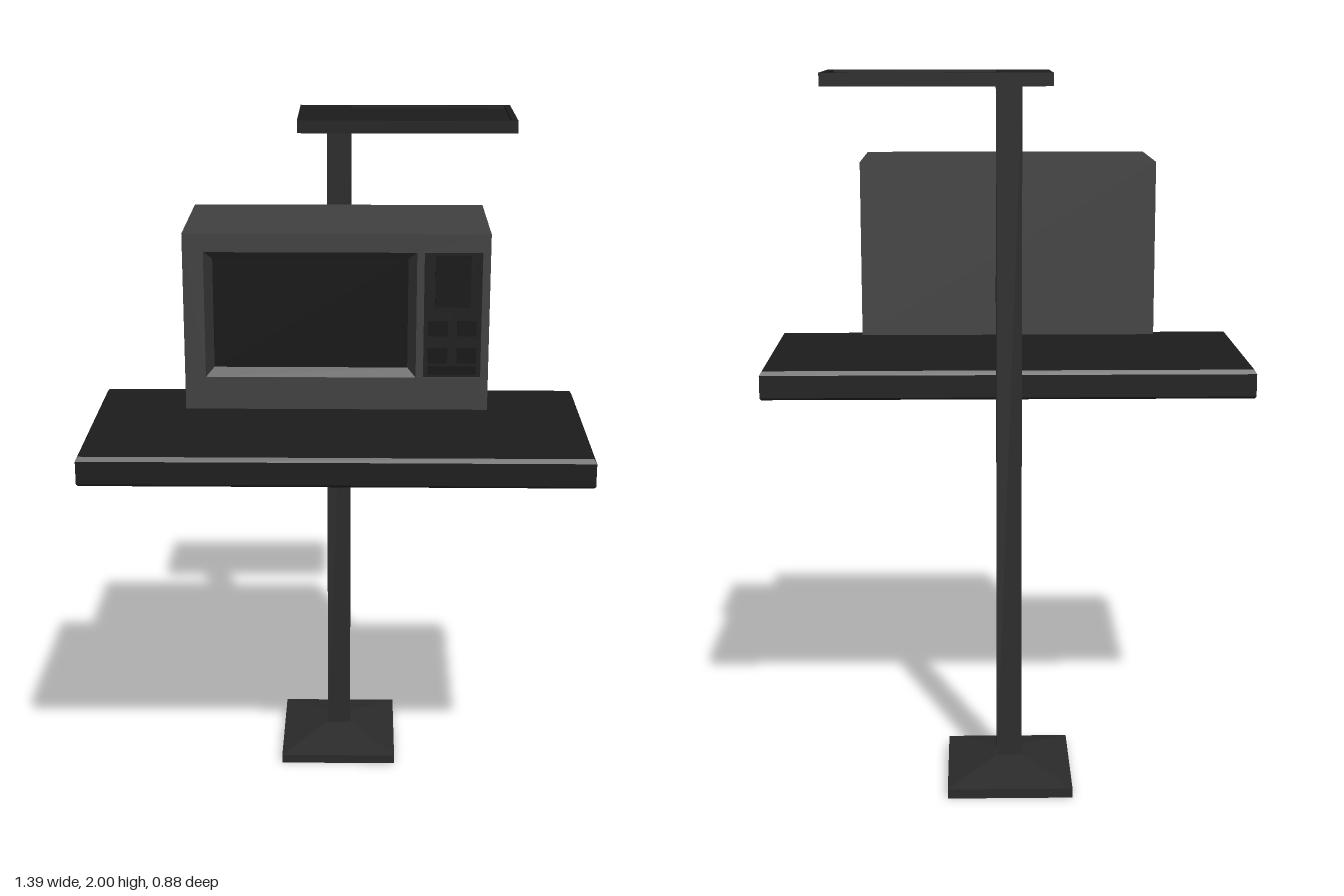
import * as THREE from 'three';

const paint = (color) => new THREE.MeshStandardMaterial({ color, flatShading: true });
const mats = {
  casing: paint(0x404040),
  post: paint(0x2a2a2a),
  shelf: paint(0x1c1c1c),
  frame: paint(0x303030),
  dark: paint(0x121212),
};

// Box given by its limits on each axis
function box(name, mat, [x0, x1], [y0, y1], [z0, z1]) {
  const mesh = new THREE.Mesh(new THREE.BoxGeometry(x1 - x0, y1 - y0, z1 - z0), mat);
  mesh.position.set((x0 + x1) / 2, (y0 + y1) / 2, (z0 + z1) / 2);
  mesh.name = name;
  return mesh;
}

// Joins rectangles [width, height, z]; ascending z faces outward, descending faces inward
function loft(sections, capped) {
  const points = [];
  const index = [];
  for (const [w, h, z] of sections) {
    for (const [sx, sy] of [[-1, -1], [1, -1], [1, 1], [-1, 1]]) points.push((sx * w) / 2, (sy * h) / 2, z);
  }
  for (let s = 0; s < sections.length - 1; s++) {
    for (let i = 0; i < 4; i++) {
      const a = s * 4 + i;
      const b = s * 4 + ((i + 1) % 4);
      index.push(a, b, b + 4, a, b + 4, a + 4);
    }
  }
  if (capped) {
    const t = (sections.length - 1) * 4;
    index.push(0, 2, 1, 0, 3, 2, t, t + 1, t + 2, t, t + 2, t + 3);
  }
  const indexed = new THREE.BufferGeometry();
  indexed.setAttribute('position', new THREE.Float32BufferAttribute(points, 3));
  indexed.setIndex(index);
  const geometry = indexed.toNonIndexed();
  geometry.computeVertexNormals();
  return geometry;
}

// Flat plate with rectangular openings, rectangles as [x0, x1, y0, y1]
function plate(outer, holes, depth) {
  const trace = (path, [x0, x1, y0, y1]) =>
    path.moveTo(x0, y0).lineTo(x1, y0).lineTo(x1, y1).lineTo(x0, y1).closePath();
  const shape = new THREE.Shape();
  trace(shape, outer);
  for (const hole of holes) {
    const path = new THREE.Path();
    trace(path, hole);
    shape.holes.push(path);
  }
  return new THREE.ExtrudeGeometry(shape, { depth, bevelEnabled: false });
}

function createStand() {
  const stand = new THREE.Group();
  stand.name = 'stand';

  // Stepped pyramid foot
  const foot = new THREE.Mesh(
    loft([[0.35, 0.39, 0], [0.35, 0.39, 0.027], [0.08, 0.09, 0.065]], true).rotateX(-Math.PI / 2),
    mats.post
  );
  foot.position.z = -0.245;
  foot.name = 'foot';

  stand.add(
    foot,
    box('post', mats.post, [-0.035, 0.035], [0.05, 1.966], [-0.283, -0.205]),
    box('bracket', mats.post, [-0.035, 0.035], [1.36, 1.435], [-0.206, -0.12])
  );
  return stand;
}

function createShelf() {
  // Slab with slightly chamfered rims
  const geometry = loft(
    [[1.386, 0.642, 0], [1.395, 0.65, 0.006], [1.395, 0.65, 0.07], [1.38, 0.636, 0.082]],
    true
  ).rotateX(-Math.PI / 2);
  const shelf = new THREE.Mesh(geometry, mats.shelf);
  shelf.position.set(0, 1.094, 0.12);
  shelf.name = 'shelf';
  return shelf;
}

function createTopPanel() {
  const panel = new THREE.Group();
  panel.name = 'topPanel';
  // Raised border around a shallow recess
  const border = new THREE.Mesh(
    plate([-0.115, 0.5, 0.045, 0.365], [[0.033, 0.483, 0.065, 0.35]], 0.007).rotateX(-Math.PI / 2),
    mats.shelf
  );
  border.position.y = 1.993;
  border.name = 'panelBorder';
  panel.add(border, box('panelSlab', mats.shelf, [-0.115, 0.5], [1.965, 1.993], [-0.365, -0.045]));
  return panel;
}

function createOven() {
  const oven = new THREE.Group();
  oven.name = 'oven';
  oven.add(box('casing', mats.casing, [-0.411, 0.411], [1.265, 1.75], [-0.125, 0.255]));

  // Front face with openings for the door and the controls
  const face = new THREE.Mesh(
    plate([-0.411, 0.411, 1.265, 1.75], [[-0.355, 0.215, 1.355, 1.7], [0.235, 0.39, 1.355, 1.7]], 0.03),
    mats.casing
  );
  face.position.z = 0.255;
  face.name = 'frontFace';

  // Sloping door rim around the window
  const rim = new THREE.Mesh(loft([[0.57, 0.345, 0.283], [0.525, 0.3, 0.262]], false), mats.frame);
  rim.position.set(-0.07, 1.5275, 0);
  rim.name = 'doorRim';
  oven.add(face, rim, box('window', mats.dark, [-0.34, 0.2], [1.37, 1.685], [0.25, 0.262]));

  // Control panel with display and two rows of buttons over a bottom strip
  oven.add(box('controlPanel', mats.shelf, [0.235, 0.39], [1.355, 1.7], [0.25, 0.275]));
  oven.add(box('display', mats.dark, [0.265, 0.36], [1.55, 1.69], [0.27, 0.28]));
  for (const y of [1.47, 1.395]) {
    for (const x of [0.247, 0.325]) {
      oven.add(box('button', mats.dark, [x, x + 0.053], [y, y + 0.04], [0.27, 0.282]));
    }
  }
  oven.add(box('openButton', mats.dark, [0.247, 0.378], [1.362, 1.385], [0.27, 0.28]));
  return oven;
}

export function createModel() {
  const model = new THREE.Group();
  model.name = 'ovenStand';
  model.add(createStand(), createShelf(), createTopPanel(), createOven());
  return model;
}
